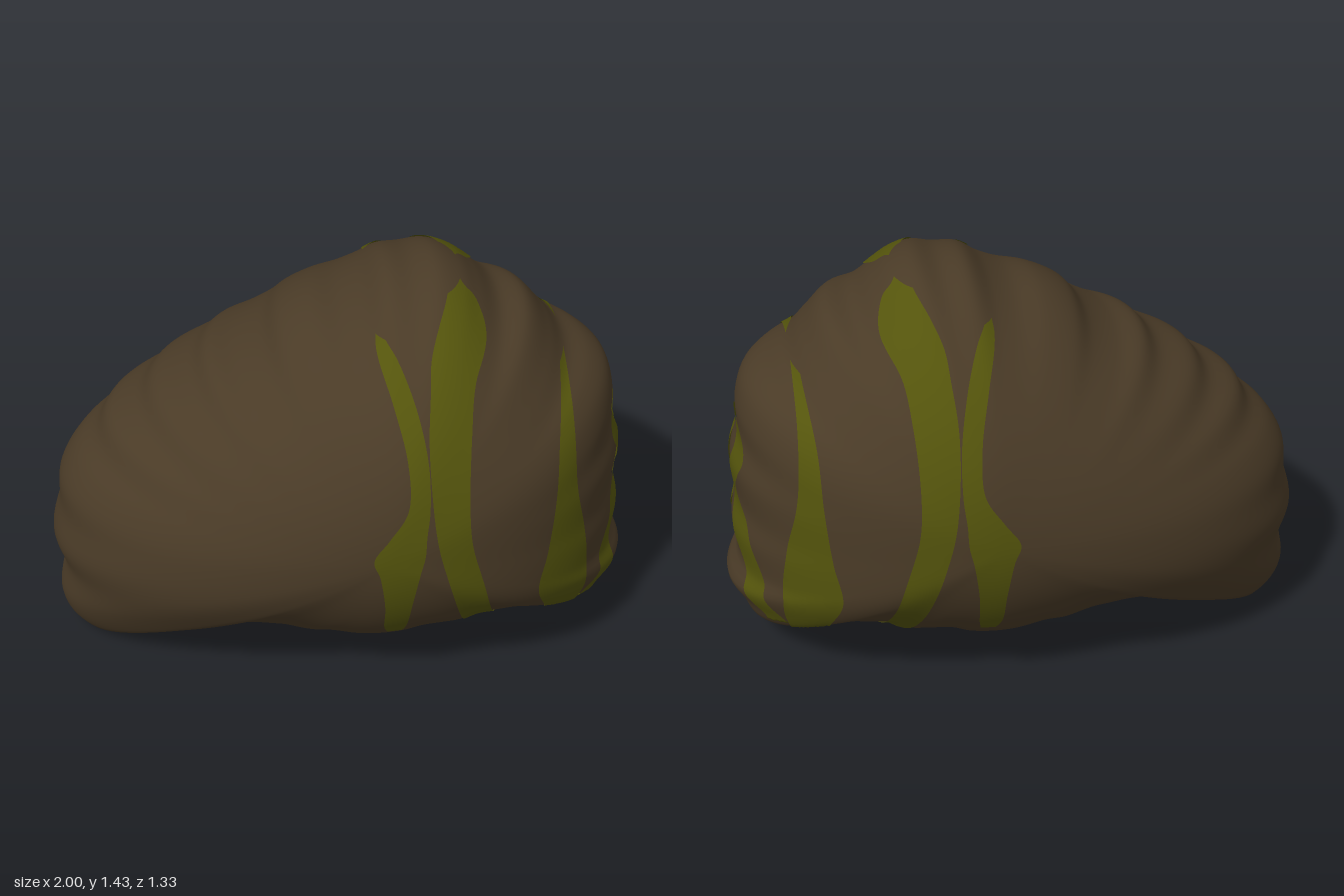
import * as THREE from 'three';
import { mergeVertices } from 'three/addons/utils/BufferGeometryUtils.js';

const CX = 0.12, CY = 0.7, DEPTH = 0.66;

// Rim of the body with its bumps and the drooping tip, counter-clockwise
const RIM = [
  [1, .28], [.96, .36], [.97, .5], [.95, .6], [.96, .75], [.93, .85], [.93, .96], [.9, 1.05], [.84, 1.1],
  [.76, 1.13], [.7, 1.2], [.62, 1.29], [.53, 1.3], [.46, 1.36], [.4, 1.41], [.32, 1.44], [.24, 1.42],
  [.15, 1.42], [.07, 1.36], [0, 1.33], [-.1, 1.32], [-.2, 1.27], [-.26, 1.2], [-.35, 1.15], [-.44, 1.13],
  [-.5, 1.07], [-.62, 1.02], [-.68, .95], [-.78, .9], [-.83, .82], [-.9, .76], [-.96, .66], [-.97, .55],
  [-1, .42], [-.97, .3], [-.99, .15], [-.96, .06], [-.89, 0], [-.8, .04], [-.73, .12], [-.66, .14],
  [-.58, .19], [-.5, .19], [-.4, .15], [-.32, .14], [-.2, .08], [-.1, .1], [0, .06], [.1, .05], [.22, .07],
  [.3, .13], [.4, .11], [.48, .1], [.55, .18], [.65, .17], [.75, .18], [.85, .15], [.92, .12], [.96, .2],
];
// Calm outline that the inner part of the body follows
const CORE = [
  [.95, .6], [.9, 1], [.65, 1.25], [.3, 1.42], [-.2, 1.25], [-.68, .94], [-.96, .6],
  [-.95, .3], [-.72, .18], [-.4, .15], [.1, .06], [.6, .16], [.9, .25],
];

// Turns an outline into a radius by angle around the centre
function radiusByAngle(points) {
  const curve = new THREE.CatmullRomCurve3(points.map(([x, y]) => new THREE.Vector3(x - CX, y - CY, 0)), true);
  const table = curve.getPoints(900).slice(0, -1)
    .map((p) => [Math.atan2(p.y, p.x), Math.hypot(p.x, p.y)])
    .sort((a, b) => a[0] - b[0]);
  const first = table[0], last = table[table.length - 1];
  table.unshift([last[0] - 2 * Math.PI, last[1]]);
  table.push([first[0] + 2 * Math.PI, first[1]]);
  return (angle) => {
    let lo = 0, hi = table.length - 1;
    while (hi - lo > 1) {
      const mid = (lo + hi) >> 1;
      if (table[mid][0] <= angle) lo = mid; else hi = mid;
    }
    const [a0, r0] = table[lo], [a1, r1] = table[hi];
    return r0 + (r1 - r0) * (angle - a0) / Math.max(a1 - a0, 1e-9);
  };
}

function bisect(lo, hi, tooLow) {
  for (let i = 0; i < 40; i++) {
    const mid = (lo + hi) / 2;
    if (tooLow(mid)) lo = mid; else hi = mid;
  }
  return (lo + hi) / 2;
}

export function createModel() {
  const brown = new THREE.MeshStandardMaterial({ color: 0x4a3b27 });
  brown.name = 'darkBrown';
  const olive = new THREE.MeshStandardMaterial({ color: 0x54540c, side: THREE.DoubleSide });
  olive.name = 'olive';

  const rim = radiusByAngle(RIM), core = radiusByAngle(CORE);
  // s runs from 0 in the middle of a flank to 1 on the rim
  const radius = (angle, s) => {
    const c = core(angle);
    return c * s + (rim(angle) - c) * s ** 6;
  };
  const surface = (angle, s, z) => {
    const r = radius(angle, s);
    return new THREE.Vector3(CX + r * Math.cos(angle), CY + r * Math.sin(angle), z);
  };
  // Surface point seen at x, y on the flank
  const onFlank = (y, x) => {
    const angle = Math.atan2(y - CY, x - CX), r = Math.hypot(x - CX, y - CY);
    const s = bisect(0, 1, (t) => radius(angle, t) < r);
    return surface(angle, s, DEPTH * Math.sqrt(Math.max(0, 1 - s * s)));
  };
  // Surface point seen at y, z on the blunt end
  const onEnd = (y, z) => {
    const s = Math.sqrt(1 - (z / DEPTH) ** 2);
    const angle = bisect(-1.5, 1.5, (a) => CY + radius(a, s) * Math.sin(a) < y);
    return surface(angle, s, z);
  };

  const group = new THREE.Group();

  // Body: a ball reshaped to the outline
  const ball = new THREE.SphereGeometry(1, 300, 96).rotateX(Math.PI / 2);
  const pos = ball.attributes.position;
  for (let i = 0; i < pos.count; i++) {
    const x = pos.getX(i), y = pos.getY(i);
    const p = surface(Math.atan2(y, x), Math.min(1, Math.hypot(x, y)), pos.getZ(i) * DEPTH);
    pos.setXYZ(i, p.x, p.y, p.z);
  }
  ball.deleteAttribute('uv');
  ball.deleteAttribute('normal');
  const bodyGeometry = mergeVertices(ball, 1e-5);
  bodyGeometry.computeVertexNormals();
  const body = new THREE.Mesh(bodyGeometry, brown);
  body.name = 'body';
  group.add(body);

  // Stripes: rows of [height, one edge, other edge] laid just above the skin
  function addStripe(name, rows, place) {
    const curve = new THREE.CatmullRomCurve3(rows.map((r) => new THREE.Vector3(...r)));
    const across = 8, along = 90;
    const centre = new THREE.Vector3(CX, CY, 0);
    const points = curve.getPoints(along).flatMap((row) =>
      Array.from({ length: across + 1 }, (_, j) =>
        place(row.x, THREE.MathUtils.lerp(row.y, row.z, j / across)).sub(centre).multiplyScalar(1.006).add(centre)));
    const index = [];
    for (let i = 0; i < along; i++) {
      for (let j = 0; j < across; j++) {
        const a = i * (across + 1) + j, b = a + across + 1;
        index.push(a, b, a + 1, a + 1, b, b + 1);
      }
    }
    for (const side of [1, -1]) {
      const geometry = new THREE.BufferGeometry().setFromPoints(
        points.map((p) => new THREE.Vector3(p.x, p.y, p.z * side)));
      geometry.setIndex(side > 0 ? index : [...index].reverse());
      geometry.computeVertexNormals();
      const mesh = new THREE.Mesh(geometry, olive);
      mesh.name = name + (side > 0 ? 'Front' : 'Back');
      group.add(mesh);
    }
  }

  addStripe('shortStripe', [
    [1.33, .10, .13], [1.3, .1, .16], [1.2, .14, .21], [1.05, .18, .245], [.9, .18, .25], [.8, .12, .24],
    [.72, .07, .235], [.65, .09, .22], [.5, .11, .2], [.35, .115, .19], [.29, .13, .18],
  ], onFlank);
  addStripe('longStripe', [
    [1.41, .34, .39], [1.36, .3, .44], [1.3, .27, .46], [1.22, .26, .41], [1.1, .25, .39], [.9, .26, .38],
    [.75, .28, .39], [.55, .33, .44], [.3, .39, .5], [.2, .42, .54], [.11, .45, .53],
  ], onFlank);
  addStripe('rearStripe', [
    [1.14, .715, .74], [1, .69, .745], [.8, .68, .76], [.6, .66, .8], [.45, .635, .82],
    [.3, .675, .82], [.18, .68, .79],
  ], onFlank);
  addStripe('endStripe', [
    [.92, .01, .04], [.88, .02, .1], [.8, .05, .16], [.74, .04, .14], [.65, .03, .09], [.58, .02, .18],
    [.5, .07, .23], [.4, .14, .27], [.3, .2, .3], [.22, .23, .31], [.17, .16, .28],
  ], onEnd);

  return group;
}
